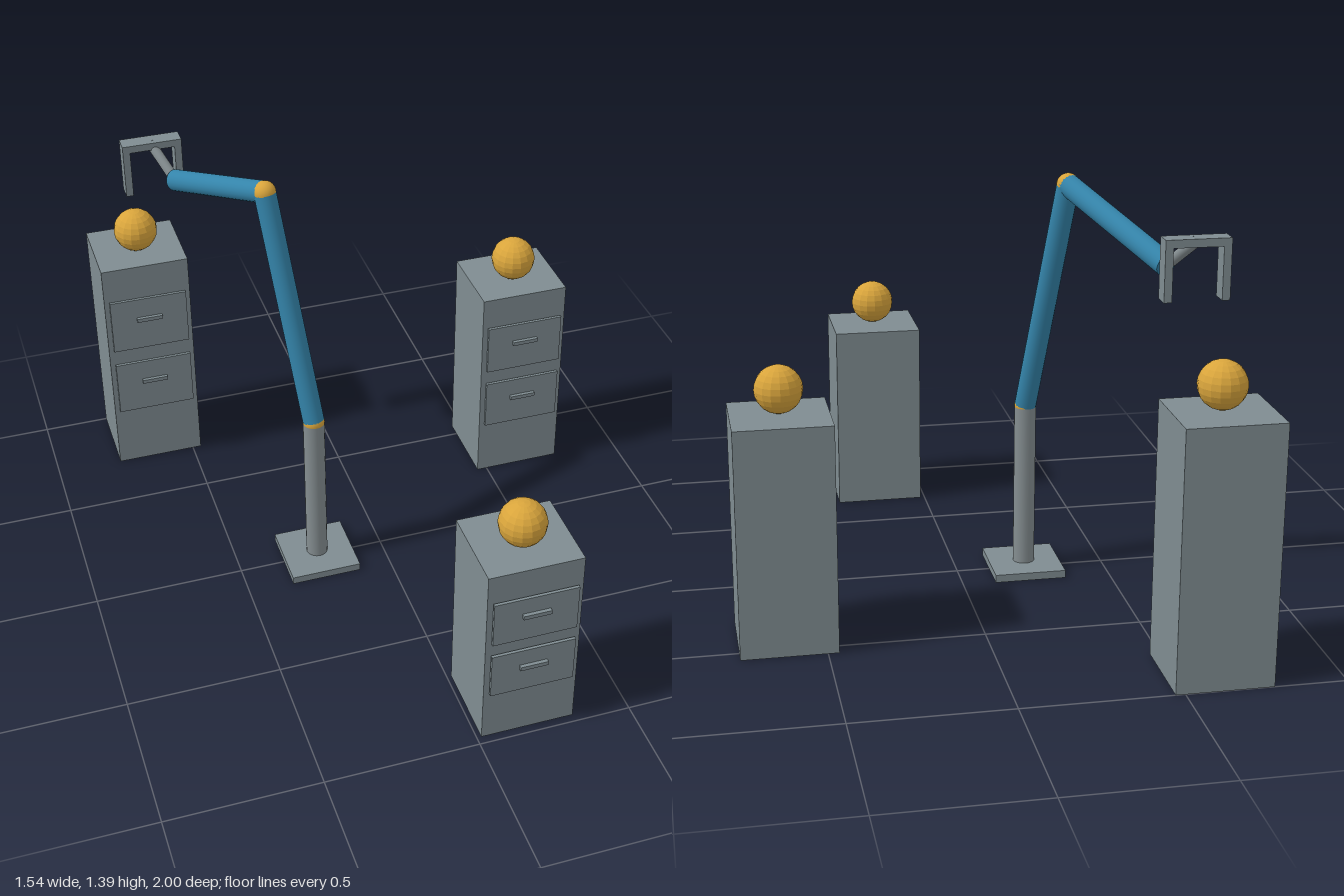
import * as THREE from 'three';

const mat = (name, color) => {
  const m = new THREE.MeshStandardMaterial({ color });
  m.name = name;
  return m;
};

export function createModel() {
  const model = new THREE.Group();
  model.name = 'robotArmWithCabinets';
  const grey = mat('cabinetGrey', 0x7f8c91);
  const steel = mat('steelGrey', 0x858e91);
  const blue = mat('armBlue', 0x3484aa);
  const gold = mat('gold', 0xd9a53c);
  const goldFacets = mat('goldFaceted', 0xd9a53c);
  goldFacets.flatShading = true;

  const add = (parent, name, geometry, material, x, y, z) => {
    const mesh = new THREE.Mesh(geometry, material);
    mesh.name = name;
    mesh.position.set(x, y, z);
    parent.add(mesh);
    return mesh;
  };
  const box = (parent, name, material, w, h, d, x, y, z) =>
    add(parent, name, new THREE.BoxGeometry(w, h, d), material, x, y, z);

  // Cylinder running between two points
  const link = (parent, name, material, r, a, b) => {
    const dir = b.clone().sub(a);
    const mid = a.clone().add(b).multiplyScalar(0.5);
    const mesh = add(parent, name, new THREE.CylinderGeometry(r, r, dir.length(), 20), material, mid.x, mid.y, mid.z);
    mesh.quaternion.setFromUnitVectors(new THREE.Vector3(0, 1, 0), dir.normalize());
  };

  // Cabinets: two drawers with handles, a ball on top
  const W = 0.304, D = 0.277, R = 0.075;
  const cabinets = [
    [-0.622, 0.824, -0.862],
    [0.617, 0.737, -0.411],
    [0.167, 0.652, 0.834],
  ];
  for (const [x, h, z] of cabinets) {
    const cabinet = new THREE.Group();
    cabinet.name = 'cabinet';
    cabinet.position.set(x, 0, z);
    model.add(cabinet);
    box(cabinet, 'cabinetBody', grey, W, h, D, 0, h / 2, 0);
    for (const level of [0.407, 0.727]) {
      box(cabinet, 'drawerFront', grey, 0.27, h * 0.246, 0.01, 0, h * level, D / 2 + 0.01);
      box(cabinet, 'drawerHandle', grey, 0.09, 0.014, 0.012, 0, h * (level + 0.025), D / 2 + 0.021);
    }
    add(cabinet, 'ball', new THREE.SphereGeometry(R, 16, 12), goldFacets, 0, h + R, 0.013);
  }

  // Robot arm: base, post, two links and gold joints
  const arm = new THREE.Group();
  arm.name = 'robotArm';
  model.add(arm);
  const foot = new THREE.Vector3(-0.229, 0.026, 0);
  const shoulder = new THREE.Vector3(-0.229, 0.58, 0);
  const elbow = new THREE.Vector3(-0.316, 1.358, -0.187);
  const wrist = new THREE.Vector3(-0.511, 1.2, -0.62);
  const palm = new THREE.Vector3(-0.566, 1.294, -0.725);

  box(arm, 'basePlate', grey, 0.238, 0.026, 0.238, foot.x, 0.013, 0);
  link(arm, 'post', steel, 0.036, foot, shoulder);
  link(arm, 'upperArm', blue, 0.036, shoulder, elbow);
  link(arm, 'forearm', blue, 0.036, elbow, wrist);
  link(arm, 'wristRod', steel, 0.017, wrist, palm);
  for (const [name, p] of [['shoulderJoint', shoulder], ['elbowJoint', elbow]]) {
    add(arm, name, new THREE.SphereGeometry(0.0365, 20, 14), gold, p.x, p.y, p.z);
  }

  // Gripper: palm bar with two fingers
  const gripper = new THREE.Group();
  gripper.name = 'gripper';
  gripper.position.copy(palm);
  arm.add(gripper);
  box(gripper, 'palmBar', grey, 0.198, 0.025, 0.056, 0, 0, 0);
  for (const side of [-1, 1]) {
    box(gripper, 'finger', grey, 0.024, 0.16, 0.056, side * 0.087, -0.0925, 0);
  }

  return model;
}
